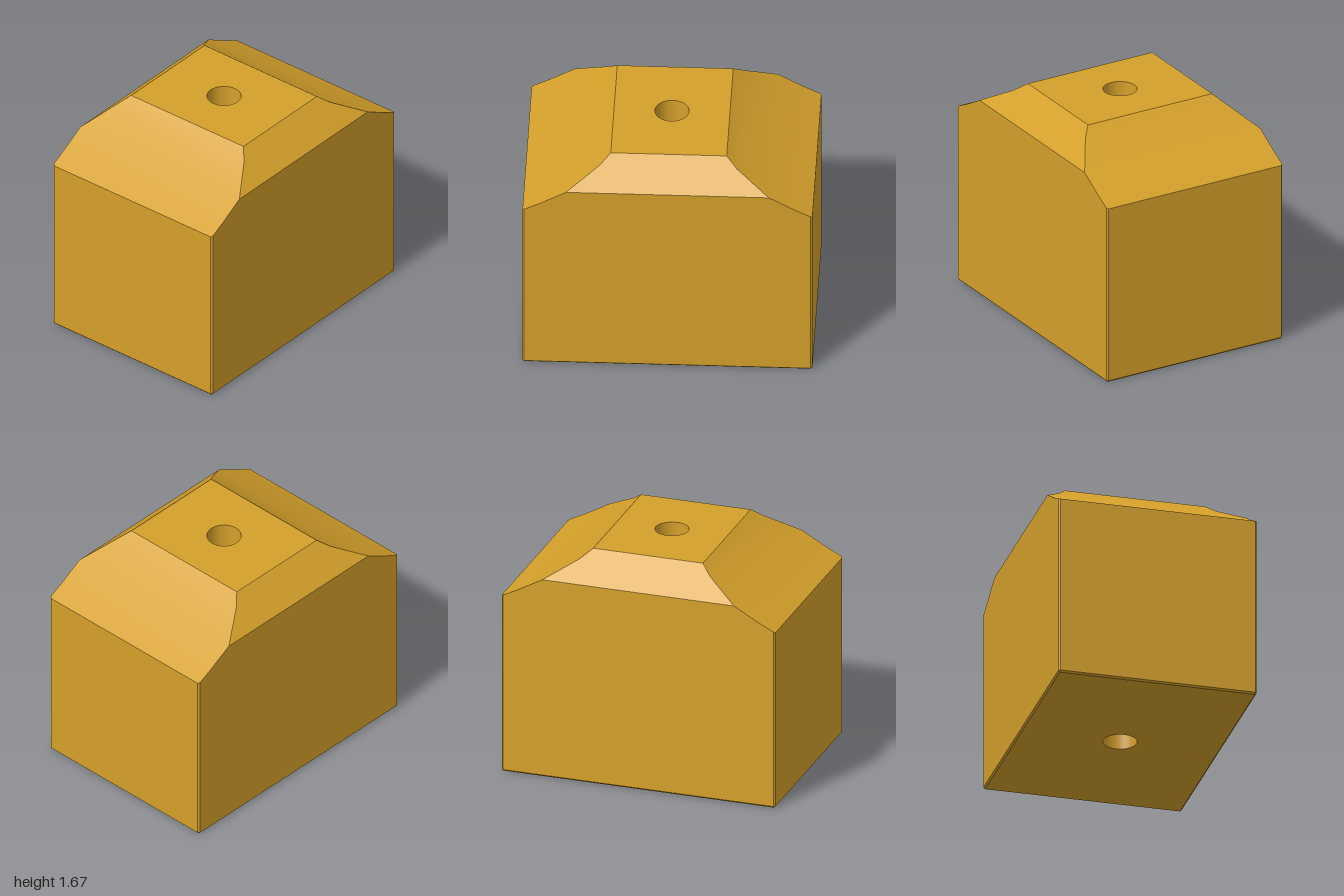
import * as THREE from 'three';
import { toCreasedNormals } from 'three/addons/utils/BufferGeometryUtils.js';

const TOP = 1.67, EAVE = 1.475, HALF_Z = 0.708, RIDGE_Z = 0.5, C = 0.012, HOLE_R = 0.118;

// Half of the front profile, from the centre plateau outwards: [x, height]
const PROFILE = [[0.4, TOP], [0.475, 1.608], [0.7, EAVE], [0.88, 1.374], [1 - C, 1.32], [1, 1.314]];

// Section across z at one x station, as a loop of [x, y, z]
function section(x, h) {
  const end = Math.abs(x) === 1;
  const w = end ? HALF_Z - C : HALF_Z;
  const ridge = h > EAVE ? RIDGE_Z + (TOP - h) / (TOP - EAVE) * (HALF_Z - RIDGE_Z) : w;
  const half = [[HALF_Z - C, end ? C : 0], [w, C], [w, Math.min(h, EAVE)], [ridge, h]];
  const right = half.map(([z, y]) => [x, y, z]);
  const left = half.map(([z, y]) => [x, y, -z]).reverse();
  return [...right, ...left];
}

function blockGeometry() {
  const stations = [...PROFILE.map(([x, h]) => [-x, h]).reverse(), ...PROFILE];
  const loops = stations.map(([x, h]) => section(x, h));
  const pos = [];
  const tri = (...pts) => {
    const [a, b, c] = pts.map(p => new THREE.Vector3(...p));
    if (new THREE.Triangle(a, b, c).getArea() > 1e-7) pos.push(...pts.flat());
  };
  const mid = PROFILE.length - 1;
  for (let i = 0; i < loops.length - 1; i++) {
    const p = loops[i], q = loops[i + 1];
    for (let j = 0; j < 8; j++) {
      // The pierced middle of the top and bottom is made separately
      if (i === mid && (j === 3 || j === 7)) continue;
      const k = (j + 1) % 8;
      tri(p[j], q[j], q[k]);
      tri(p[j], q[k], p[k]);
    }
  }
  // End walls
  const first = loops[0], last = loops[loops.length - 1];
  for (let j = 1; j < 7; j++) {
    tri(first[0], first[j], first[j + 1]);
    tri(last[0], last[j + 1], last[j]);
  }
  const geo = new THREE.BufferGeometry();
  geo.setAttribute('position', new THREE.Float32BufferAttribute(pos, 3));
  return toCreasedNormals(geo, 0.2);
}

// Flat rectangle with the round bore cut out, facing up or down
function piercedPlate(halfX, halfZ, y, up) {
  const shape = new THREE.Shape();
  shape.moveTo(-halfX, -halfZ).lineTo(halfX, -halfZ).lineTo(halfX, halfZ).lineTo(-halfX, halfZ).closePath();
  shape.holes.push(new THREE.Path().absarc(0, 0, HOLE_R, 0, Math.PI * 2, true));
  return new THREE.ShapeGeometry(shape, 32).rotateX(up ? -Math.PI / 2 : Math.PI / 2).translate(0, y, 0);
}

export function createModel() {
  const group = new THREE.Group();
  group.name = 'piercedBlock';
  const material = new THREE.MeshStandardMaterial({ color: 0xd4a02a });
  const inner = material.clone();
  inner.side = THREE.BackSide;
  const add = (name, geo, mat = material) => {
    const mesh = new THREE.Mesh(geo, mat);
    mesh.name = name;
    group.add(mesh);
  };

  add('body', blockGeometry());
  add('topPlateau', piercedPlate(0.4, RIDGE_Z, TOP, true));
  add('underside', piercedPlate(0.4, HALF_Z - C, 0, false));
  // Vertical through hole
  add('bore', new THREE.CylinderGeometry(HOLE_R, HOLE_R, TOP, 64, 1, true).translate(0, TOP / 2, 0), inner);
  return group;
}
